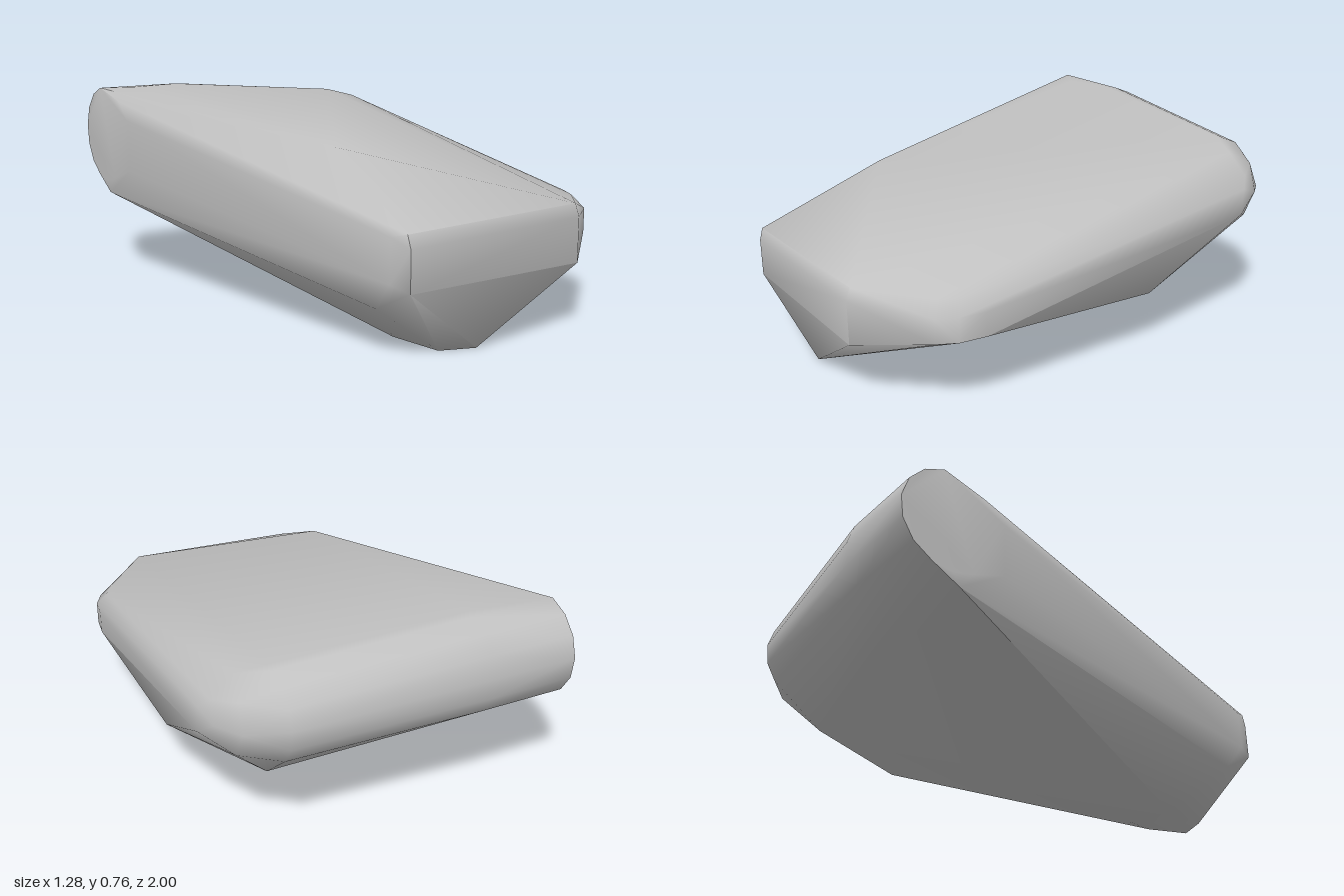
import * as THREE from 'three';
import { ConvexGeometry } from 'three/addons/geometries/ConvexGeometry.js';
import { toCreasedNormals } from 'three/addons/utils/BufferGeometryUtils.js';

export function createModel() {
  const group = new THREE.Group();
  group.name = 'boulder';
  const stone = new THREE.MeshStandardMaterial({ color: 0xc0c0c0 });
  stone.name = 'grey stone';

  const points = [];
  const add = (...list) => list.forEach((p) => points.push(new THREE.Vector3(...p)));

  // Half-round back edge: arc in y-z at one x station
  const arc = (x, y, z, r, skew) => {
    for (let i = 0; i <= 8; i++) {
      const a = THREE.MathUtils.degToRad(80 - i * 24.5);
      add([x + skew * Math.cos(a), y + r * Math.sin(a), z - r * Math.cos(a)]);
    }
  };
  arc(-0.615, 0.575, -0.81, 0.19, 0.035);
  arc(-0.27, 0.575, -0.76, 0.19, 0.02);
  arc(0.44, 0.525, -0.59, 0.175, 0.02);

  // Rounded back corner on the left
  add([0.43, 0.705, -0.59], [0.53, 0.675, -0.53], [0.57, 0.62, -0.62], [0.58, 0.52, -0.66],
    [0.615, 0.6, -0.52], [0.632, 0.53, -0.57], [0.64, 0.56, -0.48], [0.64, 0.46, -0.47], [0.57, 0.41, -0.6]);
  // Top ridge
  add([-0.48, 0.635, 0.4], [-0.5, 0.765, -0.75], [-0.29, 0.765, -0.76]);
  // Flat right side
  add([-0.645, 0.65, -0.6], [-0.645, 0.45, -0.6], [-0.63, 0.72, -0.68], [-0.62, 0.34, -0.78],
    [-0.645, 0.42, 0.8], [-0.645, 0.27, 0.8], [-0.62, 0.17, 0.72]);
  // Blunt front
  add([-0.63, 0.435, 0.858], [-0.63, 0.39, 0.872], [-0.63, 0.25, 0.872],
    [0.085, 0.445, 0.982], [0.085, 0.4, 0.998], [0.085, 0.24, 0.998]);
  // Rounded front corner on the left
  for (const [x, z] of [[0.35, 0.85], [0.4, 0.785], [0.43, 0.69]]) {
    add([x, 0.37, z], [x, 0.28, z], [x - 0.03, 0.42, z - 0.04]);
  }
  // Underside
  add([-0.3, 0, 0.87], [-0.41, 0, 0.8], [-0.41, 0, 0.6], [-0.22, 0, 0.6], [-0.22, 0, 0.72],
    [0.53, 0.23, -0.05], [0.42, 0.24, -0.46], [0.4, 0.24, -0.53], [-0.46, 0.27, -0.46]);

  const body = new THREE.Mesh(toCreasedNormals(new ConvexGeometry(points), 1.05), stone);
  body.name = 'rock';
  group.add(body);
  return group;
}
